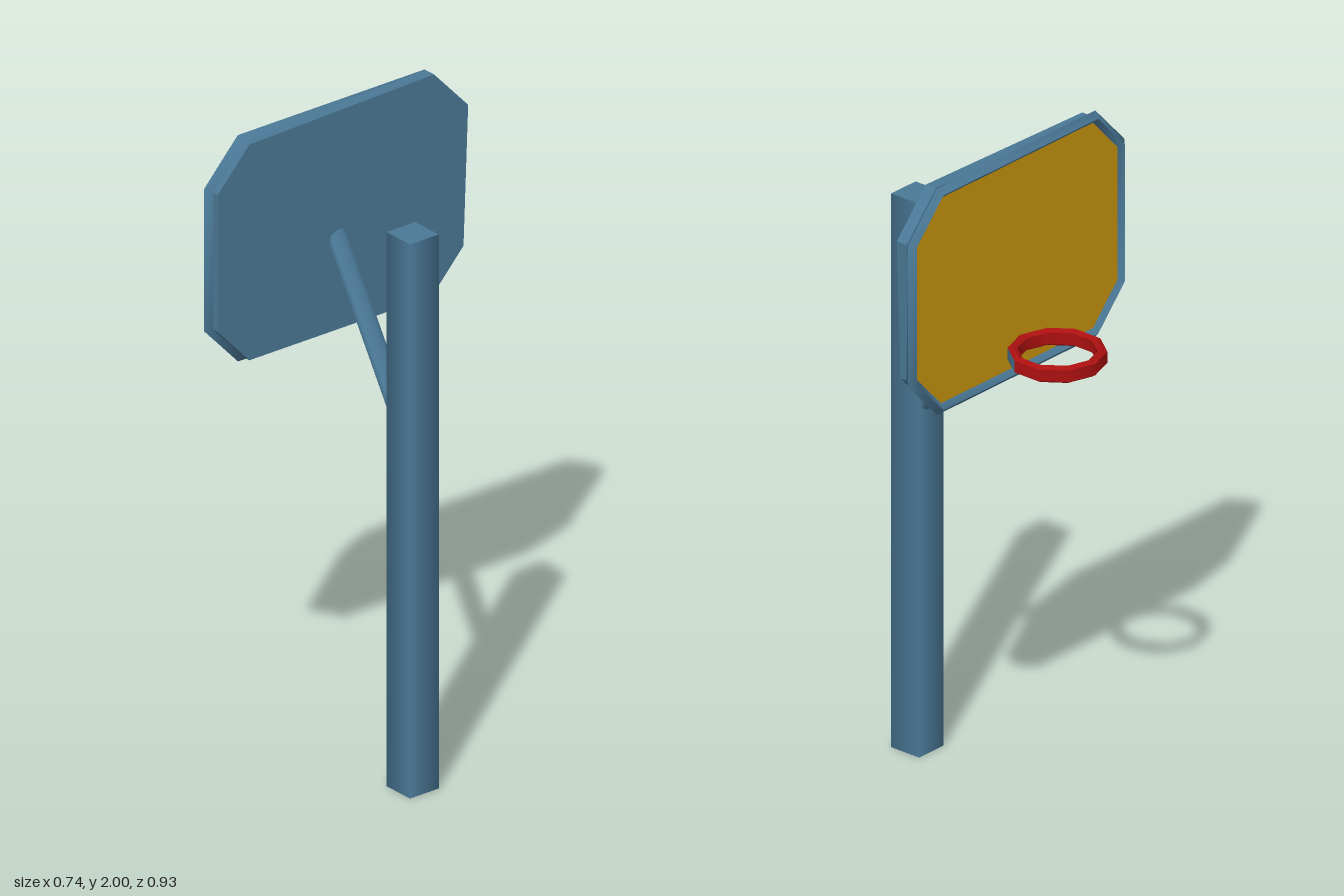
import * as THREE from 'three';
import { toCreasedNormals } from 'three/addons/utils/BufferGeometryUtils.js';

const steel = new THREE.MeshStandardMaterial({ color: 0x4a7896 });
steel.name = 'steelBlue';
const red = new THREE.MeshStandardMaterial({ color: 0xac1010 });
red.name = 'hoopRed';
const ochre = new THREE.MeshStandardMaterial({ color: 0xc8960e });
ochre.name = 'boardOchre';

function mesh(name, geometry, material) {
  const m = new THREE.Mesh(geometry, material);
  m.name = name;
  return m;
}

// Skin a closed loop of closed rings; keep(j, i) selects the quads to build
function loft(rings, keep = () => true) {
  const pos = [];
  const n = rings[0].length;
  rings.forEach((ring, j) => {
    const next = rings[(j + 1) % rings.length];
    for (let i = 0; i < n; i++) {
      if (!keep(j, i)) continue;
      const k = (i + 1) % n;
      const a = ring[i], b = next[i], c = next[k], d = ring[k];
      for (const p of [a, b, c, a, c, d]) pos.push(...p);
    }
  });
  const g = new THREE.BufferGeometry();
  g.setAttribute('position', new THREE.Float32BufferAttribute(pos, 3));
  g.computeVertexNormals();
  return toCreasedNormals(g, 0.7);
}

// Board outline with cut corners, shrunk by d, counterclockwise
function outline(d) {
  const w = 0.466 - d, h = 0.355 - d, y = 1.645;
  const cw = 0.125 - d * 0.59, ch = 0.133 - d * 0.59;
  return [
    [w, y - h + ch], [w, y + h - ch], [w - cw, y + h], [cw - w, y + h],
    [-w, y + h - ch], [-w, y - h + ch], [cw - w, y - h], [w - cw, y - h],
  ];
}
const toShape = (pts) => new THREE.Shape(pts.map(([a, b]) => new THREE.Vector2(a, b)));

function createBackboard() {
  const group = new THREE.Group();
  group.name = 'backboard';

  // Back slab; its upper rear corner reaches out to the full outline
  const pts = outline(0.017);
  const outer = outline(0);
  pts[1] = outer[1];
  pts[2] = outer[2];
  const slab = new THREE.ExtrudeGeometry(toShape(pts), { depth: 0.038, bevelEnabled: false });
  slab.rotateY(Math.PI / 2).translate(-0.068, 0, 0);
  group.add(mesh('boardSlab', slab, steel));

  // Diamond-section rim
  const section = [[0.018, -0.09], [0, -0.072], [0.018, -0.05], [0.036, -0.072]];
  const rings = section.map(([d, x]) => outline(d).map(([z, y]) => [x, y, z]));
  group.add(mesh('boardRim', loft(rings), steel));

  // Coloured playing face
  const face = new THREE.ShapeGeometry(toShape(outline(0.03)));
  face.rotateY(-Math.PI / 2).translate(-0.075, 0, 0);
  group.add(mesh('boardFace', face, ochre));
  return group;
}

function createHoop() {
  const group = new THREE.Group();
  group.name = 'hoop';
  const sides = 10;
  const section = [[0.142, -0.018], [0.142, 0.018], [0.128, 0.027],
    [0.114, 0.018], [0.114, -0.018], [0.128, -0.027]];
  const rings = section.map(([r, y]) => Array.from({ length: sides }, (_, i) => {
    const u = (i / sides) * Math.PI * 2;
    return [r * Math.cos(u), y, r * Math.sin(u)];
  }));
  // Outer faces next to the board are the steel bracket
  const bracket = (j, i) => j === 0 && (i < 2 || i >= sides - 2);
  group.add(mesh('hoopRing', loft(rings, (j, i) => !bracket(j, i)), red));
  group.add(mesh('hoopBracket', loft(rings, bracket), steel));
  group.position.set(-0.227, 1.403, 0);
  return group;
}

export function createModel() {
  const model = new THREE.Group();
  model.name = 'basketballHoop';

  // Square post with softly shaded sides
  const post = new THREE.CylinderGeometry(0.0745, 0.0745, 1.737, 4);
  post.rotateY(Math.PI / 4).translate(0.314, 0.8685, 0.018);
  model.add(mesh('post', post, steel));

  // Diagonal brace: a horizontal rod sheared so both ends stay upright
  const brace = new THREE.CylinderGeometry(0.035, 0.035, 0.31, 10);
  brace.rotateZ(-Math.PI / 2);
  brace.applyMatrix4(new THREE.Matrix4().set(
    1, 0, 0, 0.117,
    -1.62, 1, 0, 1.347,
    0, 0, 1, 0.007,
    0, 0, 0, 1));
  model.add(mesh('brace', brace, steel));

  model.add(createBackboard(), createHoop());
  return model;
}
